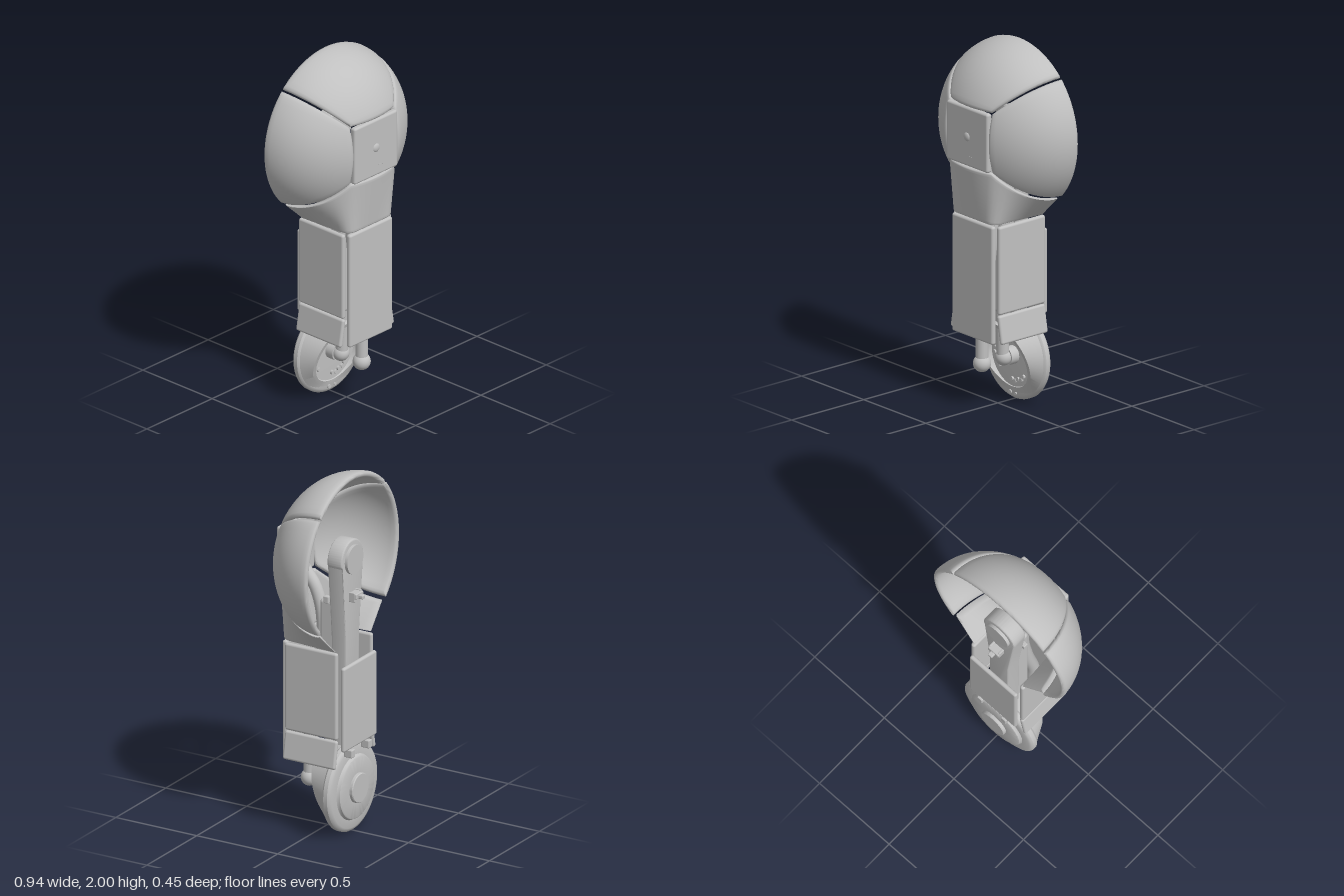
import * as THREE from 'three';
import { toCreasedNormals } from 'three/addons/utils/BufferGeometryUtils.js';
import { RoundedBoxGeometry } from 'three/addons/geometries/RoundedBoxGeometry.js';

const HUB_Y = 1.53, BACK_Z = -0.157, R = 0.472, DEPTH = 0.4, WHEEL_Y = 0.247;

// Builds an indexed geometry from points and quads, keeping hard edges sharp
function build(pos, idx, crease = 0.7) {
  const g = new THREE.BufferGeometry();
  g.setAttribute('position', new THREE.Float32BufferAttribute(pos, 3));
  g.setIndex(idx);
  return toCreasedNormals(g, crease);
}

// Curved plate with softened rim: f(u, v, w) gives a point, w runs from outside (0) to inside (1)
function curvedPlate(f, n = 24) {
  const s = [0, 0.012, 0.035];
  for (let i = 2; i < n - 1; i++) s.push(i / n);
  s.push(0.965, 0.988, 1);
  const m = s.length, pos = [], idx = [];
  for (const side of [0, 1]) for (const v of s) for (const u of s) {
    const d = Math.min(u, 1 - u, v, 1 - v);
    const inset = d === 0 ? 0.35 : d < 0.02 ? 0.1 : 0;
    pos.push(...f(u, v, side ? 1 - inset : inset));
  }
  const at = (i, j, side) => side * m * m + j * m + i;
  const quad = (a, b, c, d) => idx.push(a, b, c, a, c, d);
  for (let j = 0; j < m - 1; j++) for (let i = 0; i < m - 1; i++) {
    quad(at(i, j, 0), at(i, j + 1, 0), at(i + 1, j + 1, 0), at(i + 1, j, 0));
    quad(at(i, j, 1), at(i + 1, j, 1), at(i + 1, j + 1, 1), at(i, j + 1, 1));
  }
  const e = m - 1;
  for (let i = 0; i < e; i++) {
    quad(at(i, 0, 0), at(i + 1, 0, 0), at(i + 1, 0, 1), at(i, 0, 1));
    quad(at(i + 1, e, 0), at(i, e, 0), at(i, e, 1), at(i + 1, e, 1));
    quad(at(0, i + 1, 0), at(0, i, 0), at(0, i, 1), at(0, i + 1, 1));
    quad(at(e, i, 0), at(e, i + 1, 0), at(e, i + 1, 1), at(e, i, 1));
  }
  return build(pos, idx, 0.9);
}

const domeZ = (x, y) => DEPTH * Math.sqrt(Math.max(0, 1 - (x * x + y * y) / (R * R)));

// One quarter of the dome, relative to the dome centre, lying towards +x
function domePanel(u, v, w) {
  const s = 2 * u - 1, a = s * 0.772, t = Math.sin(v * Math.PI / 2);
  const x = THREE.MathUtils.lerp(0.171, R * Math.cos(a), t);
  const y = THREE.MathUtils.lerp(0.165 * s, R * Math.sin(a), t);
  const k = 1 - 0.07 * w;
  return [x * k, y * k, domeZ(x, y) * k];
}

// Tapered lower panel of the dome, wrapping from side to side
function chinPanel(u, v, w) {
  const s = 2 * u - 1, a = Math.abs(s), t = Math.max(0, (a - 0.4) / 0.6);
  const tt = Math.sin(t * Math.PI / 2), flat = Math.min(1, a / 0.4);
  const topX = 0.165 * flat + 0.163 * tt, topY = 1.36 - 0.169 * tt;
  const topZ = domeZ(topX, HUB_Y - topY);
  // The lower edge turns a rounded corner, then runs straight to the back
  const corner = Math.min(1, t / 0.3) * Math.PI / 2, run = Math.max(0, (t - 0.3) / 0.7);
  const lowX = 0.125 * flat + 0.05 * Math.sin(corner) + 0.015 * run;
  const lowZ = 0.34 - 0.05 * (1 - Math.cos(corner)) - 0.29 * run;
  const x = THREE.MathUtils.lerp(topX, lowX, v), z = THREE.MathUtils.lerp(topZ, lowZ, v);
  return [Math.sign(s) * x * (1 - 0.12 * w), THREE.MathUtils.lerp(topY, 1.065, v), BACK_Z + z * (1 - 0.09 * w)];
}

// Slanted collar in front of the wheel, lofted through four rings
function wheelCollar() {
  const pos = [], idx = [], n = 64;
  const rings = [[0.238, 0], [0.2, 1], [0.178, 1], [0.17, 0]];
  for (const [r, slanted] of rings) for (let i = 0; i < n; i++) {
    const a = i / n * Math.PI * 2, y = r * Math.sin(a);
    const z = slanted ? Math.max(-0.105, -0.12 + 0.345 * (y + 0.23)) : -0.115;
    pos.push(r * Math.cos(a), y, z);
  }
  for (let k = 0; k < 3; k++) for (let i = 0; i < n; i++) {
    const j = (i + 1) % n, a = k * n + i, b = k * n + j;
    idx.push(a, b, b + n, a, b + n, a + n);
  }
  return build(pos, idx);
}

export function createModel() {
  const model = new THREE.Group();
  const grey = new THREE.MeshStandardMaterial({ color: 0xc0c0c0, side: THREE.DoubleSide });
  grey.name = 'grey';

  const add = (name, geo, x = 0, y = 0, z = 0) => {
    const mesh = new THREE.Mesh(geo, grey);
    mesh.name = name;
    mesh.position.set(x, y, z);
    model.add(mesh);
    return mesh;
  };
  const box = (name, w, h, d, x, y, z, r = 0.013) =>
    add(name, new RoundedBoxGeometry(w, h, d, 3, Math.min(r, w / 2.1, h / 2.1, d / 2.1)), x, y, z);
  const disc = (name, r, d, x, y, z, seg = 48) =>
    add(name, new THREE.CylinderGeometry(r, r, d, seg).rotateX(Math.PI / 2), x, y, z);
  const ball = (name, r, x, y, z) => add(name, new THREE.SphereGeometry(r, 32, 20), x, y, z);

  // Dome panels
  const panel = curvedPlate(domePanel);
  ['leftDomePanel', 'topDomePanel', 'rightDomePanel'].forEach((name, i) => {
    add(name, panel, 0, HUB_Y, BACK_Z).rotation.z = i * Math.PI / 2;
  });
  add('lowerDomePanel', curvedPlate(chinPanel, 40));

  // Front plate with its button and dots
  box('frontPlate', 0.33, 0.328, 0.036, 0, HUB_Y, 0.198);
  ball('frontButton', 0.025, 0, HUB_Y, 0.213).scale.z = 0.45;
  for (let i = 0; i < 3; i++) disc('plateDot', 0.004, 0.004, 0.02 + i * 0.014, 1.425, 0.216, 10);

  // Arm with rounded top, and the deeper spine inside the leg
  const arm = new THREE.Shape();
  arm.moveTo(-0.055, 0.5);
  arm.lineTo(0.055, 0.5);
  arm.lineTo(0.06, 1.1);
  arm.lineTo(0.1, 1.51);
  arm.absarc(0, HUB_Y, 0.102, -0.2, Math.PI + 0.2, false);
  arm.lineTo(-0.06, 1.1);
  arm.closePath();
  const armGeo = new THREE.ExtrudeGeometry(arm, {
    depth: 0.075, bevelSize: 0.008, bevelThickness: 0.008, bevelSegments: 3, curveSegments: 32,
  });
  add('arm', toCreasedNormals(armGeo, 0.6), 0, 0, -0.147);
  box('armSpine', 0.11, 0.78, 0.1, 0, 0.9, -0.03, 0.02);
  disc('armHub', 0.08, 0.03, 0, HUB_Y, -0.157);

  // Brackets on the back of the arm and above the wheel
  box('armBracket', 0.075, 0.03, 0.05, 0, 1.335, -0.175, 0.006);
  box('armBracketPin', 0.03, 0.022, 0.035, 0, 1.33, -0.208, 0.006);
  for (const s of [-1, 1]) {
    box('armTab', 0.03, 0.04, 0.03, s * 0.085, 1.31, -0.05, 0.005);
    box('armBracketCheek', 0.012, 0.055, 0.04, s * 0.032, 1.328, -0.17, 0.004);
    box('wheelBracket', 0.035, 0.045, 0.05, s * 0.085, 0.47, -0.188, 0.006);
  }

  // Leg casing
  box('frontLegPanel', 0.33, 0.657, 0.03, 0, 0.73, 0.166);
  box('backLegPanel', 0.33, 0.475, 0.026, 0, 0.735, -0.192);
  for (const [side, s] of [['left', 1], ['right', -1]]) {
    box(side + 'LegPanel', 0.028, 0.49, 0.322, s * 0.175, 0.812, -0.01);
    box(side + 'LowerLegPanel', 0.026, 0.156, 0.322, s * 0.186, 0.484, -0.01).rotation.z = s * 0.17;
  }

  // Control rods with ball ends
  const rod = (name, pts) => add(name, new THREE.TubeGeometry(
    new THREE.CatmullRomCurve3(pts.map(([y, z]) => new THREE.Vector3(0, y, z))), 40, 0.034, 20));
  rod('frontRod', [[1.53, 0.16], [1.44, 0.15], [1.32, 0.07], [1.15, 0.03], [0.8, 0.06], [0.5, 0.11], [0.4, 0.11], [0.25, 0.11]]);
  rod('rearRod', [[0.6, -0.02], [0.4, -0.03], [0.25, -0.035]]);
  ball('upperRodBall', 0.046, 0, HUB_Y, 0.16);
  ball('frontRodBall', 0.048, 0, WHEEL_Y, 0.11);
  ball('rearRodBall', 0.045, 0, WHEEL_Y, -0.04);

  // Wheel: turned from a half profile of radius and z
  const profile = [
    [0, -0.205], [0.078, -0.205], [0.082, -0.2], [0.082, -0.186], [0.165, -0.186], [0.172, -0.182],
    [0.175, -0.172], [0.18, -0.166], [0.225, -0.164], [0.24, -0.158], [0.247, -0.148],
    [0.247, -0.125], [0.24, -0.115], [0.225, -0.108], [0.18, -0.106], [0, -0.106],
  ].map(([r, z]) => new THREE.Vector2(r, z));
  const wheelGeo = toCreasedNormals(new THREE.LatheGeometry(profile, 64).rotateX(Math.PI / 2), 0.6);
  add('wheel', wheelGeo, 0, WHEEL_Y, 0);
  add('wheelCollar', wheelCollar(), 0, WHEEL_Y, 0);
  disc('wheelAxle', 0.05, 0.06, 0, WHEEL_Y, -0.085);

  // Studs in clusters on the wheel face
  for (const start of [-0.1, 0.85, 1.7, 3.1, 4.7]) for (let i = 0; i < 5; i++) {
    const a = start + i * 0.18, r = 0.135 + (i % 2) * 0.008;
    disc('wheelStud', 0.012, 0.02, r * Math.cos(a), WHEEL_Y + r * Math.sin(a), -0.104, 12);
  }
  for (const [x, r] of [[-0.022, 0.012], [0.022, 0.008]]) disc('rimStud', r, 0.016, x, 0.035, -0.108, 12);

  return model;
}
